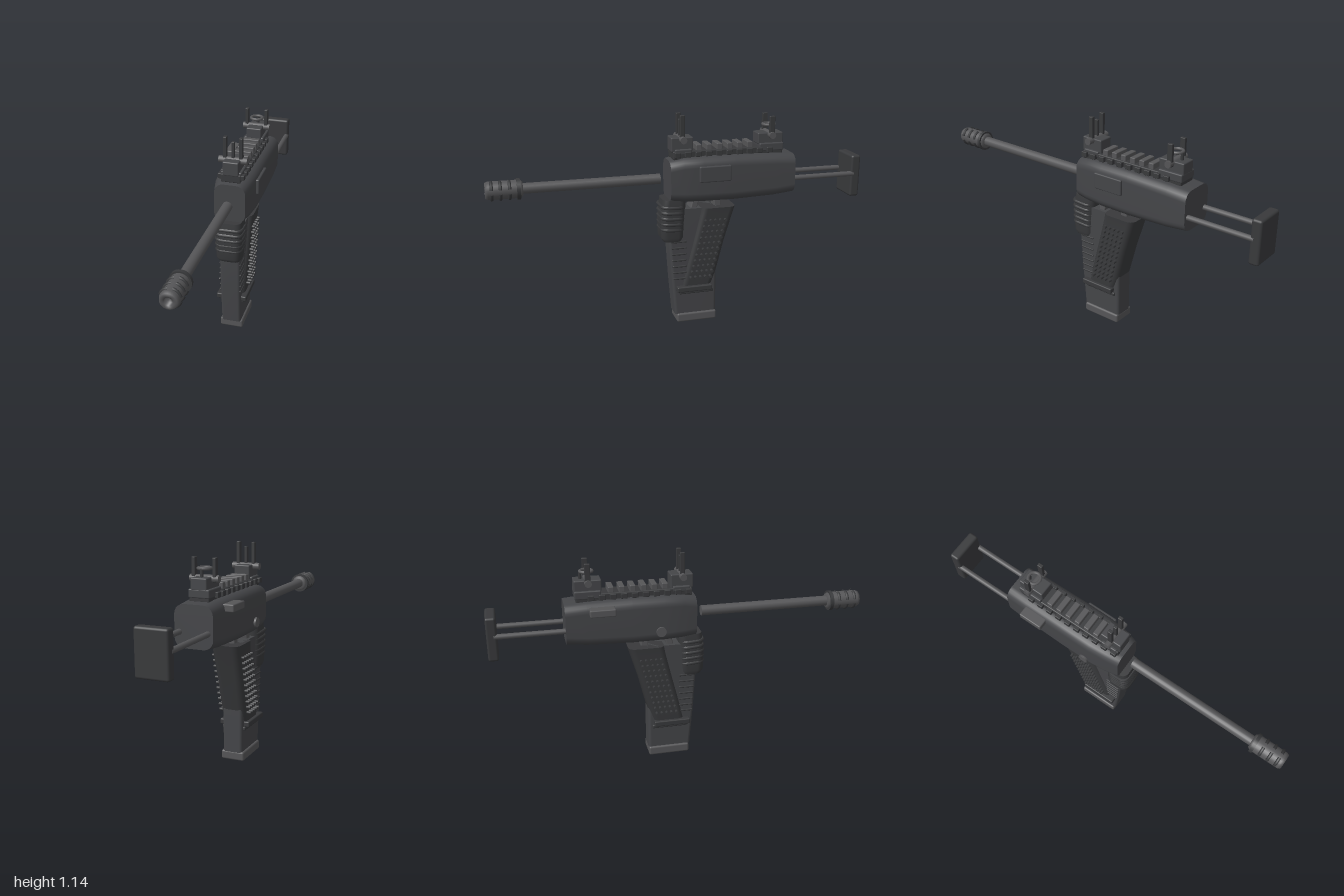
import * as THREE from 'three';
import { RoundedBoxGeometry } from 'three/addons/geometries/RoundedBoxGeometry.js';

const paint = (color) => new THREE.MeshStandardMaterial({ color });
const dark = paint(0x38393b), body = paint(0x444548), steel = paint(0x555557);

// Rounded-rectangle outline, counter-clockwise
function outline(u0, u1, v0, v1, r) {
  const pts = [], steps = 5;
  const corners = [[u1 - r, v1 - r], [u0 + r, v1 - r], [u0 + r, v0 + r], [u1 - r, v0 + r]];
  corners.forEach(([cu, cv], k) => {
    for (let s = 0; s <= steps; s++) {
      const a = (k + s / steps) * Math.PI / 2;
      pts.push([cu + r * Math.cos(a), cv + r * Math.sin(a)]);
    }
  });
  return pts;
}

// Skin over sections [t, halfWidth, low, high, radius], stacked along z or y, with flat caps
function loft(axis, sections) {
  const pos = [], idx = [];
  const rings = sections.map(([t, w, lo, hi, r]) => axis === 'z'
    ? outline(-w, w, lo, hi, r).map(([u, v]) => [u, v, t])
    : outline(-w, w, -hi, -lo, r).map(([u, v]) => [u, t, -v]));
  const n = rings[0].length, last = rings.length - 1;
  rings.forEach((ring) => ring.forEach((p) => pos.push(...p)));
  for (let i = 0; i < last; i++) {
    for (let j = 0; j < n; j++) {
      const a = i * n + j, b = i * n + (j + 1) % n;
      idx.push(a, b, b + n, a, b + n, a + n);
    }
  }
  for (const k of [0, last]) {
    const base = pos.length / 3;
    rings[k].forEach((p) => pos.push(...p));
    for (let j = 1; j < n - 1; j++) {
      if (k === 0) idx.push(base, base + j + 1, base + j);
      else idx.push(base, base + j, base + j + 1);
    }
  }
  const g = new THREE.BufferGeometry();
  g.setAttribute('position', new THREE.Float32BufferAttribute(pos, 3));
  g.setIndex(idx);
  g.computeVertexNormals();
  return g;
}

export function createModel() {
  const model = new THREE.Group();
  const gun = new THREE.Group();
  gun.name = 'assembly';
  gun.position.x = 0.014;
  model.add(gun);

  const add = (name, geometry, material, x = 0, y = 0, z = 0) => {
    const m = new THREE.Mesh(geometry, material);
    m.name = name;
    m.position.set(x, y, z);
    gun.add(m);
    return m;
  };
  // Box given by its extents
  const box = (name, mat, x0, x1, y0, y1, z0, z1, r = 0.006) =>
    add(name, new RoundedBoxGeometry(x1 - x0, y1 - y0, z1 - z0, 2, r), mat,
      (x0 + x1) / 2, (y0 + y1) / 2, (z0 + z1) / 2);
  const rod = (name, mat, axis, r, length, x, y, z, sides = 20) => {
    const g = new THREE.CylinderGeometry(r, r, length, sides);
    if (axis === 'z') g.rotateX(Math.PI / 2);
    if (axis === 'x') g.rotateZ(Math.PI / 2);
    return add(name, g, mat, x, y, z);
  };

  // Receiver
  add('receiver', loft('z', [
    [-0.61, 0.1, 0.7, 0.91, 0.05], [-0.5, 0.104, 0.69, 0.918, 0.05],
    [-0.27, 0.106, 0.683, 0.925, 0.05], [-0.1, 0.106, 0.685, 0.925, 0.05],
    [0.0, 0.097, 0.687, 0.92, 0.05], [0.07, 0.083, 0.69, 0.905, 0.05],
  ]), body);
  box('ejectionPanel', body, 0.09, 0.119, 0.798, 0.882, -0.245, -0.075);
  box('chargingHandle', steel, -0.149, -0.09, 0.862, 0.9, -0.49, -0.36);
  rod('sideButton', steel, 'x', 0.026, 0.03, -0.102, 0.745, -0.125);

  // Barrel and muzzle brake
  rod('barrel', steel, 'z', 0.027, 0.73, 0, 0.805, 0.475);
  const profile = [[0, 0.815], [0.036, 0.815], [0.046, 0.83], [0.046, 0.985], [0.04, 1.0],
    [0.02, 1.0], [0.02, 0.975], [0, 0.975]].map(([r, t]) => new THREE.Vector2(r, t));
  const muzzle = new THREE.LatheGeometry(profile, 28);
  muzzle.rotateX(Math.PI / 2);
  add('muzzleBrake', muzzle, steel, 0, 0.805, 0);
  rod('muzzleCollar', dark, 'z', 0.054, 0.018, 0, 0.805, 0.836, 28);
  for (const z of [0.88, 0.925, 0.968]) {
    for (let k = 0; k < 4; k++) {
      const lug = add('muzzleLug', new THREE.TorusGeometry(0.046, 0.008, 8, 8, 1.1), dark, 0, 0.805, z);
      lug.rotation.z = k * Math.PI / 2 + 0.235;
    }
  }

  // Shoulder stock
  box('buttPlate', dark, -0.085, 0.085, 0.65, 0.88, -1.0, -0.947, 0.012);
  for (const s of [-1, 1]) rod('stockRod', steel, 'z', 0.014, 0.36, s * 0.074, 0.778, -0.785, 12);

  // Top rail with teeth
  box('railBase', dark, -0.052, 0.052, 0.91, 0.955, -0.55, 0.05);
  for (let i = 0; i < 6; i++) {
    const z = -0.09 - i * 0.056;
    box('railTooth', steel, -0.045, 0.045, 0.95, 0.984, z - 0.015, z + 0.015, 0.004);
  }
  for (let i = 0; i < 10; i++) {
    const z = 0.03 - i * 0.056;
    for (const s of [-1, 1]) box('railNotch', dark, s * 0.06 - 0.01, s * 0.06 + 0.01, 0.925, 0.952, z - 0.016, z + 0.016, 0.003);
  }

  // Front sight
  box('frontSightBase', body, -0.042, 0.042, 0.95, 1.025, -0.06, 0.058);
  box('frontSightFoot', body, -0.055, 0.055, 0.935, 0.965, -0.05, 0.04);
  rod('frontSightBolt', steel, 'x', 0.018, 0.15, 0, 1.015, 0, 14);
  for (const s of [-1, 1]) box('frontSightProng', dark, s * 0.042 - 0.009, s * 0.042 + 0.009, 1.0, 1.14, -0.012, 0.012, 0.003);
  box('frontSightPost', dark, -0.008, 0.008, 1.0, 1.115, -0.01, 0.01, 0.003);

  // Rear sight
  box('rearSightBase', body, -0.042, 0.042, 0.965, 1.025, -0.555, -0.415);
  box('rearSightFoot', body, -0.055, 0.055, 0.93, 0.972, -0.555, -0.42);
  rod('rearSightBolt', steel, 'x', 0.018, 0.15, 0, 1.015, -0.485, 14);
  for (const s of [-1, 1]) box('rearSightProng', dark, s * 0.054 - 0.009, s * 0.054 + 0.009, 1.0, 1.115, -0.5, -0.472, 0.003);
  const ring = add('rearSightRing', new THREE.TorusGeometry(0.031, 0.008, 8, 28), steel, 0, 1.063, -0.487);
  ring.rotation.x = Math.PI / 2;
  rod('rearSightStem', dark, 'y', 0.008, 0.05, 0, 1.04, -0.518, 8);

  // Magazine
  box('magazineBase', steel, -0.064, 0.064, 0, 0.05, -0.19, 0.032, 0.01);
  add('magazine', loft('y', [
    [0.045, 0.054, -0.19, 0.04, 0.015], [0.25, 0.055, -0.19, 0.058, 0.015],
    [0.47, 0.056, -0.19, 0.073, 0.015], [0.645, 0.056, -0.19, 0.06, 0.015],
  ]), body);
  for (let i = 0; i < 7; i++) {
    const y = 0.25 + i * 0.035;
    box('magazineRib', dark, -0.06, 0.06, y, y + 0.01, -0.02, 0.052 + i * 0.002, 0.003);
  }
  box('magazineCatch', dark, -0.084, 0.084, 0.183, 0.213, -0.16, 0.035);
  box('magazineCollar', dark, -0.066, 0.066, 0.165, 0.185, -0.17, 0.02);

  // Slanted grip with studs
  const gripLine = [[0.205, -0.165, 0.01], [0.28, -0.19, -0.008], [0.45, -0.232, -0.052],
    [0.6, -0.277, -0.09], [0.645, -0.29, -0.1]];
  add('grip', loft('y', gripLine.map(([y, back, front], i) => [y, 0.066 + i * 0.003, back, front, 0.035])), dark);
  for (let row = 0; row < 11; row++) {
    const y = 0.262 + row * 0.0315;
    const front = -0.003 - (y - 0.262) * 0.255;
    for (let col = 0; col < 5; col++) {
      const z = front - 0.037 - col * 0.027;
      for (const s of [-1, 1]) rod('gripStud', dark, 'x', 0.008, 0.026, s * 0.077, y, z, 8);
    }
  }
  // Posts joining grip and receiver
  box('gripPost', steel, -0.03, 0.03, 0.63, 0.7, -0.22, -0.18);
  const strut = box('magazineStrut', steel, -0.04, 0.04, 0.61, 0.695, -0.085, -0.05);
  strut.rotation.x = -0.25;

  // Ribbed foregrip
  add('foregrip', loft('y', [
    [0.468, 0.06, 0.0, 0.1, 0.03], [0.49, 0.067, -0.01, 0.115, 0.035],
    [0.58, 0.07, -0.012, 0.117, 0.035], [0.66, 0.07, -0.018, 0.11, 0.035], [0.7, 0.066, -0.02, 0.105, 0.035],
  ]), dark);
  for (let i = 0; i < 5; i++) {
    const y = 0.535 + i * 0.031, w = 0.075 + i * 0.0015;
    const rib = add('foregripRib', loft('y', [
      [-0.008, w - 0.006, -0.058, 0.062, 0.035], [0, w, -0.065, 0.069, 0.04], [0.008, w - 0.006, -0.058, 0.062, 0.035],
    ]), dark, 0, y, 0.052);
    rib.rotation.x = -0.06;
  }

  return model;
}
